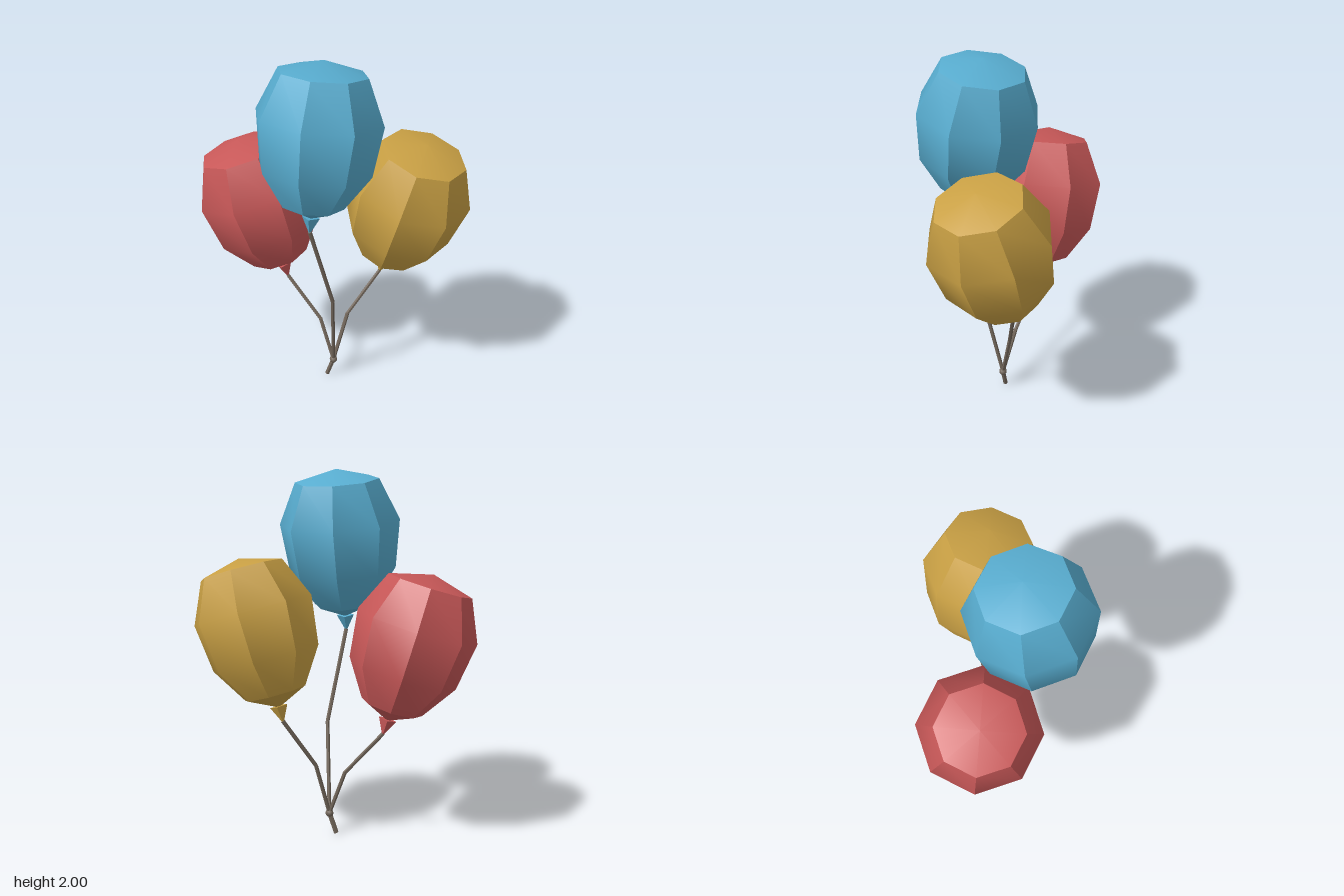
import * as THREE from 'three';
import { toCreasedNormals } from 'three/addons/utils/BufferGeometryUtils.js';

const UP = new THREE.Vector3(0, 1, 0);
const V = (x, y, z) => new THREE.Vector3(x, y, z);
const material = (name, color) => new THREE.MeshStandardMaterial({ name, color });

function addMesh(parent, name, geometry, mat) {
  const mesh = new THREE.Mesh(geometry, mat);
  mesh.name = name;
  parent.add(mesh);
  return mesh;
}

// Thin six-sided rod between two points
function addRod(parent, name, a, b, radius, mat) {
  const dir = b.clone().sub(a);
  const geometry = toCreasedNormals(new THREE.CylinderGeometry(radius, radius, dir.length(), 6), Math.PI / 6);
  const rod = addMesh(parent, name, geometry, mat);
  rod.position.copy(a).addScaledVector(dir, 0.5);
  rod.quaternion.setFromUnitVectors(UP, dir.normalize());
}

export function createModel() {
  const model = new THREE.Group();
  model.name = 'balloonBunch';
  const string = material('stringBrown', 0x74685c);

  // Eight-sided balloon body: [radius, height along its axis]
  const profile = [[0, 0], [0.168, 0.08], [0.292, 0.27], [0.325, 0.53], [0.225, 0.75], [0, 0.81]]
    .map(([r, h]) => new THREE.Vector2(r, h));
  const bodyGeometry = toCreasedNormals(new THREE.LatheGeometry(profile, 8), Math.PI / 6);

  // Little spout, wide at the balloon and pointed at the string
  const neckGeometry = toCreasedNormals(new THREE.CylinderGeometry(0.048, 0.006, 0.085, 4), Math.PI / 6);

  const tie = V(0.04, 0.12, -0.03);
  const neckDrop = 0.075;

  const balloons = [
    { name: 'blue', color: 0x58add0, base: V(-0.025, 1.2, 0.2), axis: V(0.04, 0.8, -0.115), bend: V(0.063, 0.62, 0.085) },
    { name: 'red', color: 0xc85858, base: V(-0.28, 0.69, -0.11), axis: V(-0.28, 0.95, 0.05), bend: V(-0.05, 0.375, -0.07) },
    { name: 'yellow', color: 0xc9a044, base: V(0.29, 0.765, -0.18), axis: V(0.27, 0.95, 0.1), bend: V(0.105, 0.42, -0.1) },
  ];

  for (const { name, color, base, axis, bend } of balloons) {
    const mat = material(name + 'Rubber', color);
    axis.normalize();

    // Body and neck, tilted together
    const balloon = new THREE.Group();
    balloon.name = name + 'Balloon';
    balloon.position.copy(base);
    balloon.quaternion.setFromUnitVectors(UP, axis);
    addMesh(balloon, 'balloonBody', bodyGeometry, mat);
    addMesh(balloon, 'balloonNeck', neckGeometry, mat).position.y = -0.035;
    model.add(balloon);

    // Bent string down to the tie
    const tip = base.clone().addScaledVector(axis, -neckDrop);
    addRod(model, name + 'StringUpper', tip, bend, 0.011, string);
    addRod(model, name + 'StringLower', bend, tie, 0.011, string);
  }

  // Knot and loose tail
  addMesh(model, 'knot', new THREE.SphereGeometry(0.023, 8, 6), string).position.copy(tie);
  addRod(model, 'tail', tie, V(0.002, 0.005, -0.03), 0.014, string);

  return model;
}
